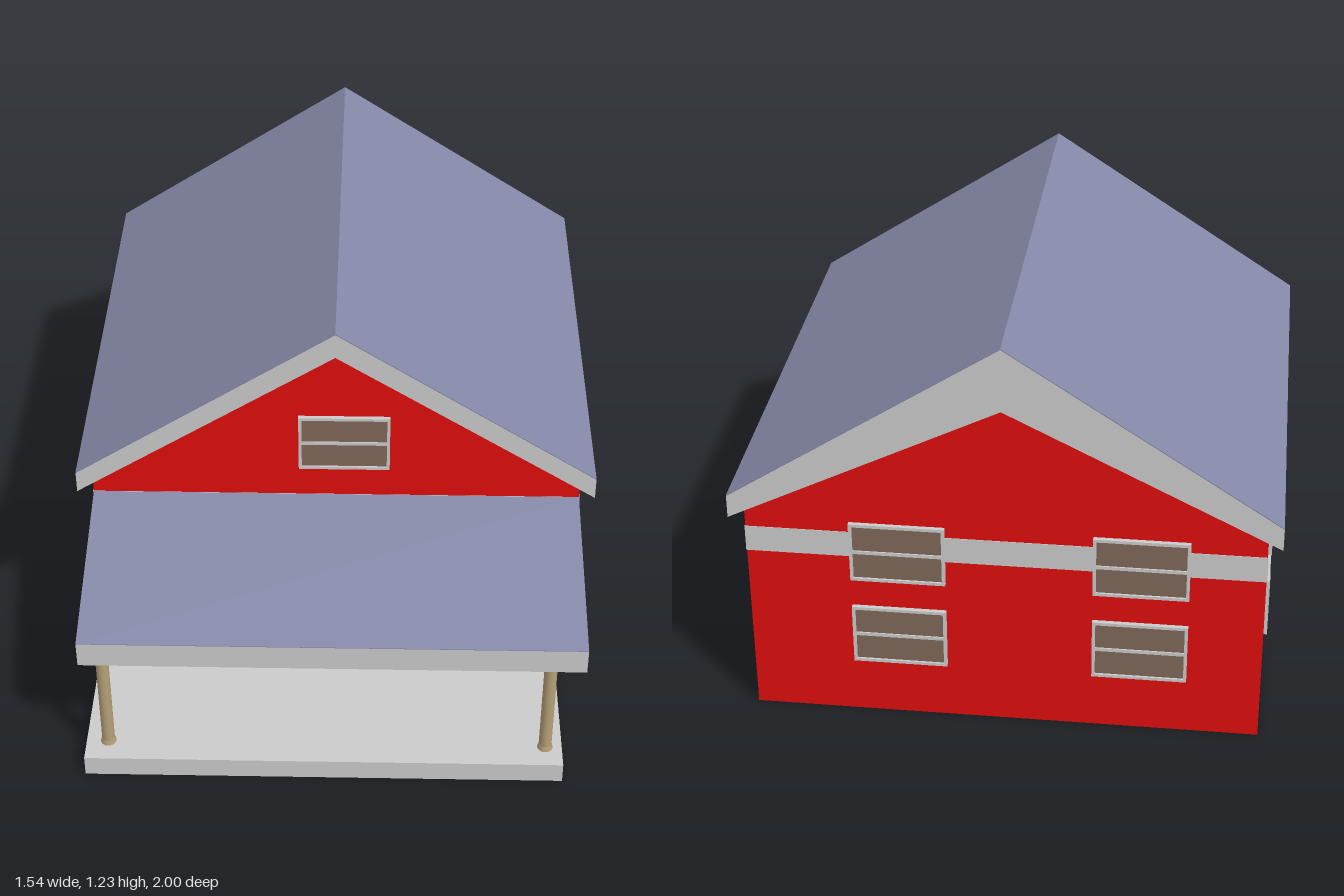
import * as THREE from 'three';

const mat = (color) => new THREE.MeshStandardMaterial({ color });

export function createModel() {
  const house = new THREE.Group();
  house.name = 'house';
  const grey = mat(0xcccccc), red = mat(0xe00d0d), slate = mat(0x8487a6);
  const glass = mat(0x80685a), wood = mat(0xb5a077), black = mat(0x111111);

  const add = (name, geometry, material, parent = house) => {
    const mesh = new THREE.Mesh(geometry, material);
    mesh.name = name;
    parent.add(mesh);
    return mesh;
  };
  // Box given by its limits on each axis
  const box = (name, [x0, x1], [y0, y1], [z0, z1], material, parent) => {
    const mesh = add(name, new THREE.BoxGeometry(x1 - x0, y1 - y0, z1 - z0), material, parent);
    mesh.position.set((x0 + x1) / 2, (y0 + y1) / 2, (z0 + z1) / 2);
    return mesh;
  };
  // Outline in x, y drawn out from z0 to z1
  const prism = (points, z0, z1) => {
    const shape = new THREE.Shape(points.map(([x, y]) => new THREE.Vector2(x, y)));
    return new THREE.ExtrudeGeometry(shape, { depth: z1 - z0, bevelEnabled: false }).translate(0, 0, z0);
  };

  // Walls with gables, and the band around them
  add('walls', prism([[-0.73, 0], [0.73, 0], [0.73, 0.69], [0, 1.155], [-0.73, 0.69]], -0.97, 0.42), red);
  box('wallBand', [-0.732, 0.732], [0.53, 0.61], [-0.972, 0.421], grey);

  // Main roof: a chevron slab whose ridge grows deeper towards the back
  const roof = prism([[-0.77, 0.655], [0, 1.15], [0.77, 0.655], [0.77, 0.723], [0, 1.228], [-0.77, 0.723]], -1, 0.48);
  const p = roof.attributes.position;
  for (let i = 0; i < p.count; i++) {
    if (Math.abs(p.getX(i)) < 0.01 && p.getY(i) < 1.2 && p.getZ(i) < 0) p.setY(i, 1.04);
  }
  roof.computeVertexNormals();
  add('roofSlab', roof, grey);
  add('roofCover', prism([[-0.77, 0.723], [0, 1.228], [0.77, 0.723], [0.77, 0.726], [0, 1.231], [-0.77, 0.726]], -1, 0.48), slate);

  // Porch: floor, sloping roof (profile in z, y) and posts
  box('porchFloor', [-0.73, 0.68], [0, 0.065], [0.42, 1], grey);
  const porchPart = (name, points, material) =>
    add(name, prism(points, -0.73, 0.73).rotateY(-Math.PI / 2), material);
  porchPart('porchRoof', [[0.42, 0.53], [0.96, 0.4], [0.96, 0.48], [0.42, 0.608]], grey);
  porchPart('porchRoofCover', [[0.42, 0.608], [0.96, 0.48], [0.96, 0.482], [0.42, 0.61]], slate);
  for (const x of [-0.665, 0.63]) {
    add('porchPost', new THREE.CylinderGeometry(0.019, 0.019, 0.36, 16), wood).position.set(x, 0.24, 0.925);
    add('postBase', new THREE.CylinderGeometry(0.02, 0.023, 0.015, 16), wood).position.set(x, 0.0725, 0.925);
  }

  // Front door with knob
  box('door', [-0.05, 0.11], [0.065, 0.3], [0.42, 0.435], black);
  add('doorKnob', new THREE.SphereGeometry(0.007, 12, 8), grey).position.set(-0.02, 0.16, 0.44);

  // Window: frame with a hole, middle bar and pane, facing +z before turning
  const W = 0.27, H = 0.187, D = 0.013;
  const rect = (Type, w, h) => new Type([[-w, -h], [w, -h], [w, h], [-w, h]].map(([x, y]) => new THREE.Vector2(x / 2, y / 2)));
  const frameShape = rect(THREE.Shape, W, H);
  frameShape.holes.push(rect(THREE.Path, W - 0.018, H - 0.018));
  const frameGeometry = new THREE.ExtrudeGeometry(frameShape, { depth: D, bevelEnabled: false });
  const addWindow = (x, y, z, turn) => {
    const win = new THREE.Group();
    win.name = 'window';
    add('windowFrame', frameGeometry, grey, win);
    box('windowBar', [-W / 2 + 0.009, W / 2 - 0.009], [-0.005, 0.005], [0.002, 0.011], grey, win);
    box('windowPane', [-W / 2 + 0.009, W / 2 - 0.009], [-H / 2 + 0.009, H / 2 - 0.009], [0.003, 0.007], glass, win);
    win.position.set(x, y, z);
    win.rotation.y = turn;
    house.add(win);
  };
  addWindow(-0.393, 0.272, 0.446, 0);
  addWindow(0.382, 0.262, 0.428, 0);
  addWindow(0.025, 0.813, 0.428, 0);
  for (const y of [0.272, 0.55]) {
    for (const z of [0.08, -0.59]) {
      for (const s of [-1, 1]) addWindow(s * 0.731, y, z, s * Math.PI / 2);
    }
    for (const x of [0.3, -0.385]) addWindow(x, y, -0.971, Math.PI);
  }
  return house;
}
